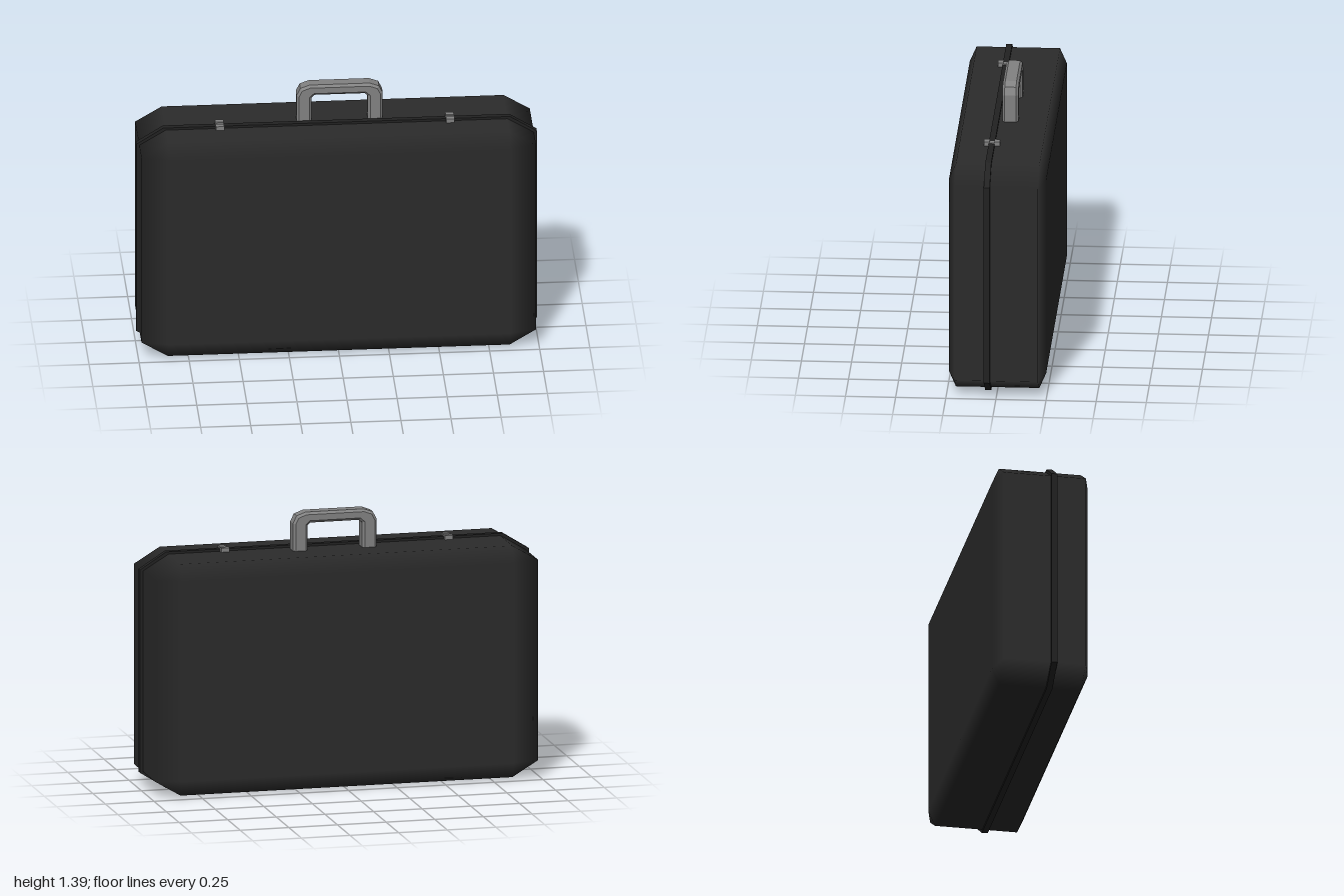
import * as THREE from 'three';
import { ConvexGeometry } from 'three/addons/geometries/ConvexGeometry.js';

const material = (name, color) => {
  const m = new THREE.MeshStandardMaterial({ color });
  m.name = name;
  return m;
};

// Box with wide chamfers; normals follow the flat faces so the chamfers shade softly
function chamferedBox(outer, inner) {
  const points = [];
  for (const sx of [-1, 1]) for (const sy of [-1, 1]) for (const sz of [-1, 1]) {
    for (let axis = 0; axis < 3; axis++) {
      const c = [0, 1, 2].map((i) => [sx, sy, sz][i] * (i === axis ? outer[i] : inner[i]));
      points.push(new THREE.Vector3(...c));
    }
  }
  const geometry = new ConvexGeometry(points);
  const pos = geometry.attributes.position;
  for (let i = 0; i < pos.count; i++) {
    const c = [pos.getX(i), pos.getY(i), pos.getZ(i)];
    const n = c.map((v, k) => (Math.abs(v) > outer[k] - 0.001 ? Math.sign(v) : 0));
    geometry.attributes.normal.setXYZ(i, ...n);
  }
  return geometry;
}

const shapeFrom = (pts) => new THREE.Shape(pts.map(([x, y]) => new THREE.Vector2(x, y)));

export function createModel() {
  const group = new THREE.Group();
  const shellMat = material('charcoal shell', 0x2b2b2b);
  const bandMat = material('dark seam', 0x222222);
  const greyMat = material('grey fittings', 0x828282);

  const add = (name, geometry, mat, x = 0, y = 0, z = 0, parent = group) => {
    const mesh = new THREE.Mesh(geometry, mat);
    mesh.name = name;
    mesh.position.set(x, y, z);
    parent.add(mesh);
    return mesh;
  };

  // Case body
  add('caseShell', chamferedBox([0.985, 0.59, 0.242], [0.853, 0.511, 0.208]), shellMat, 0, 0.602);

  // Raised seam running around the case
  const band = shapeFrom([
    [-0.865, 0], [0.865, 0], [1, 0.085], [1, 1.119],
    [0.865, 1.204], [-0.865, 1.204], [-1, 1.119], [-1, 0.085],
  ]);
  add('seamBand', new THREE.ExtrudeGeometry(band, { depth: 0.03, bevelEnabled: false }), bandMat, 0, 0, 0.031);

  // Carrying handle: an arch with chamfered corners and edges
  const arch = shapeFrom([
    [-0.215, 1.17], [-0.14, 1.17], [-0.14, 1.318], [-0.125, 1.332],
    [0.125, 1.332], [0.14, 1.318], [0.14, 1.17], [0.215, 1.17],
    [0.215, 1.332], [0.196, 1.37], [0.15, 1.387], [-0.15, 1.387],
    [-0.196, 1.37], [-0.215, 1.332],
  ]);
  const bevel = 0.012;
  add('handle', new THREE.ExtrudeGeometry(arch, {
    depth: 0.08 - 2 * bevel, bevelThickness: bevel, bevelSize: bevel,
    bevelOffset: -bevel, bevelSegments: 1,
  }), greyMat, 0.02, 0, -0.065 + bevel);

  // Two latches bridging the seam
  for (const [name, x] of [['rightLatch', -0.583], ['leftLatch', 0.567]]) {
    const latch = new THREE.Group();
    latch.name = name;
    latch.position.set(x, 1.19, 0.045);
    add('latchBase', new THREE.BoxGeometry(0.042, 0.034, 0.08), greyMat, 0, 0, 0, latch);
    for (const z of [-0.026, 0.026]) {
      add('latchLeaf', new THREE.BoxGeometry(0.042, 0.008, 0.028), greyMat, 0, 0.019, z, latch);
    }
    group.add(latch);
  }
  return group;
}
